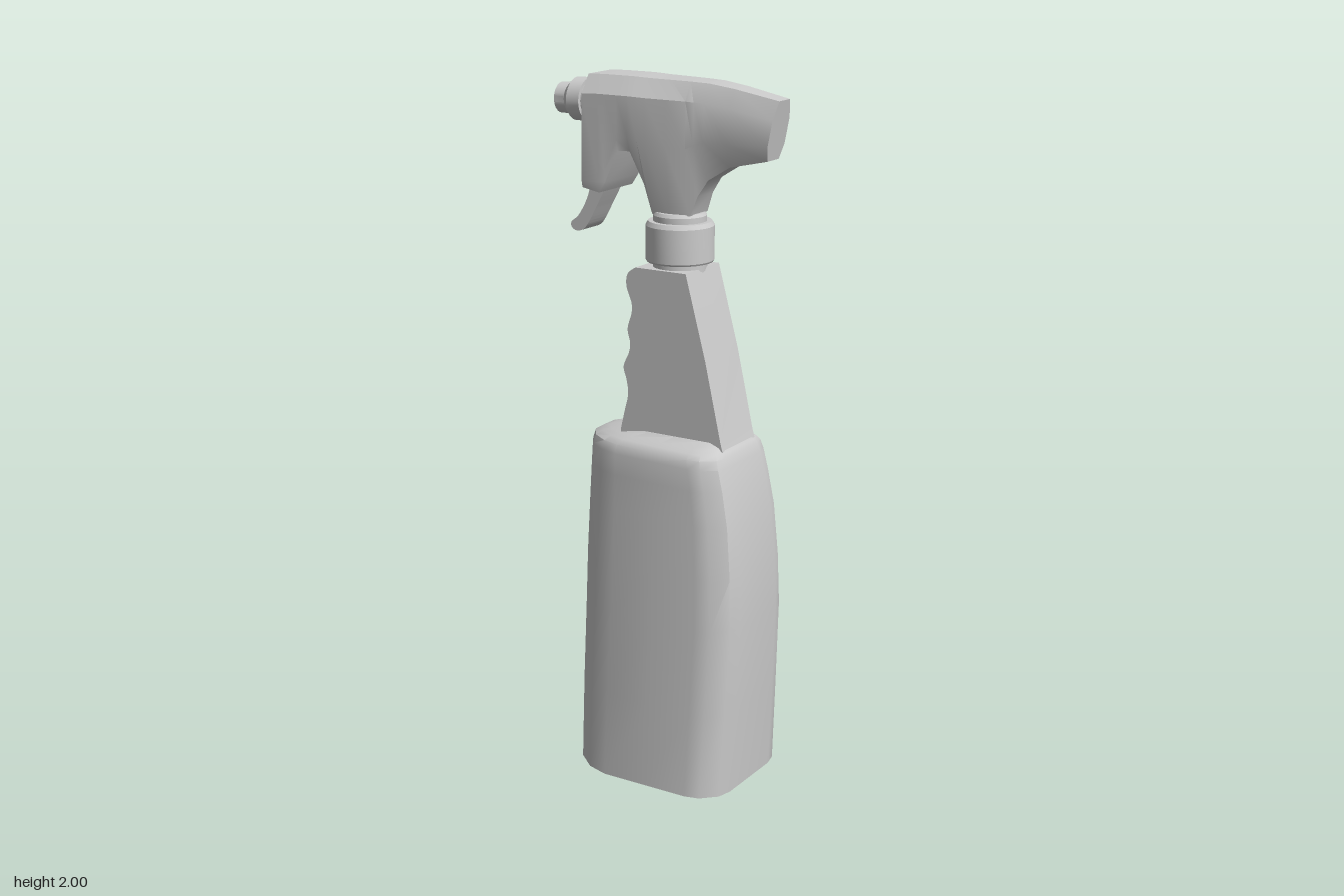
import * as THREE from 'three';
import { toCreasedNormals } from 'three/addons/utils/BufferGeometryUtils.js';

const material = new THREE.MeshStandardMaterial({ color: 0xcccccc });

function add(parent, name, geometry, crease = 0.6) {
  const mesh = new THREE.Mesh(toCreasedNormals(geometry, crease), material);
  mesh.name = name;
  parent.add(mesh);
  return mesh;
}

// Skin a list of rings (counter-clockwise about the loft direction) and cap both ends
function loft(rings) {
  const n = rings[0].length, pos = [], index = [];
  rings.forEach(r => r.forEach(p => pos.push(...p)));
  for (let i = 0; i < rings.length - 1; i++) {
    for (let j = 0; j < n; j++) {
      const k = (j + 1) % n, a = i * n, b = a + n;
      index.push(a + j, a + k, b + k, a + j, b + k, b + j);
    }
  }
  [0, rings.length - 1].forEach((i, end) => {
    const c = pos.length / 3;
    pos.push(...[0, 1, 2].map(d => rings[i].reduce((s, p) => s + p[d], 0) / n));
    for (let j = 0; j < n; j++) {
      const a = i * n + j, b = i * n + (j + 1) % n;
      index.push(c, end ? a : b, end ? b : a);
    }
  });
  const g = new THREE.BufferGeometry();
  g.setAttribute('position', new THREE.Float32BufferAttribute(pos, 3));
  g.setIndex(index);
  return g;
}

function extrude(shape, width) {
  const g = new THREE.ExtrudeGeometry(shape, { depth: width, bevelEnabled: false, curveSegments: 32 });
  return g.translate(0, 0, -width / 2);
}

function lathe(points, sides = 40) {
  return new THREE.LatheGeometry(points.map(p => new THREE.Vector2(...p)), sides);
}

function bottleGeometry() {
  // half outline: fraction of length, fraction of half width
  const half = [[1, 0.54], [0.98, 0.75], [0.9, 0.95], [0.82, 1], [0.56, 1],
    [0.31, 1], [0.19, 0.9], [0.08, 0.66], [0.01, 0.28]];
  const outline = [...half.map(([u, v]) => [u, -v]), ...half.slice().reverse()];
  // height, min x, max x, half width, narrowing towards the nozzle side
  const levels = [
    [0, -0.265, 0.268, 0.205, 0], [0.25, -0.261, 0.28, 0.196, 0],
    [0.5, -0.256, 0.291, 0.187, 0.03], [0.65, -0.254, 0.287, 0.181, 0.06],
    [0.8, -0.25, 0.274, 0.175, 0.12], [0.9, -0.247, 0.255, 0.17, 0.17],
    [0.96, -0.244, 0.24, 0.168, 0.2], [0.985, -0.236, 0.232, 0.162, 0.23],
    [0.998, -0.215, 0.225, 0.148, 0.25], [1.005, -0.19, 0.22, 0.13, 0.25],
    [1.022, -0.12, 0.215, 0.092, 0]];
  return loft(levels.map(([y, x0, x1, w, t]) =>
    outline.map(([u, v]) => [x0 + u * (x1 - x0), y, v * w * (1 - t * (1 - u))])));
}

function gripShape() {
  const s = new THREE.Shape();
  s.moveTo(-0.11, 1.0);
  s.lineTo(0.222, 1.0);
  s.lineTo(0.215, 1.025);
  s.lineTo(0.165, 1.25);
  s.lineTo(0.102, 1.485);
  s.lineTo(-0.06, 1.485);
  // finger grooves
  s.splineThru([[-0.085, 1.465], [-0.089, 1.43], [-0.073, 1.385], [-0.073, 1.355],
    [-0.086, 1.31], [-0.078, 1.27], [-0.083, 1.24], [-0.1, 1.2], [-0.09, 1.16],
    [-0.086, 1.12], [-0.098, 1.07], [-0.11, 1.02]].map(p => new THREE.Vector2(...p)));
  return s;
}

function headGeometry() {
  // top x, bottom x, top y, bottom y, shoulder y, half width, bottom half width
  const stations = [
    [-0.23, -0.235, 1.998, 1.69, 1.71, 0.088, 0.083],
    [-0.18, -0.18, 2.0, 1.68, 1.71, 0.088, 0.083],
    [-0.16, -0.16, 2.0, 1.71, 1.74, 0.088, 0.083],
    [-0.12, -0.12, 2.0, 1.8, 1.83, 0.088, 0.082],
    [-0.085, -0.085, 2.0, 1.8, 1.84, 0.088, 0.075],
    [-0.055, -0.055, 1.999, 1.71, 1.83, 0.086, 0.05],
    [-0.032, -0.032, 1.998, 1.63, 1.82, 0.084, 0.045],
    [0.03, 0.03, 1.997, 1.63, 1.82, 0.078, 0.055],
    [0.09, 0.09, 1.996, 1.635, 1.82, 0.072, 0.045],
    [0.115, 0.11, 1.995, 1.69, 1.83, 0.07, 0.04],
    [0.145, 0.14, 1.994, 1.735, 1.84, 0.067, 0.036],
    [0.22, 0.205, 1.984, 1.775, 1.84, 0.059, 0.034],
    [0.35, 0.318, 1.96, 1.8, 1.84, 0.046, 0.03]];
  return loft(stations.map(([xt, xb, yt, yb, ys, w, wb]) => {
    const side = [[0.62 * w, yt], [w, yt - 0.05], [w, ys], [wb, yb]];
    return [...side, ...side.slice().reverse().map(([z, y]) => [-z, y])]
      .map(([z, y]) => [xb + (xt - xb) * (y - yb) / (yt - yb), y, z]);
  }));
}

function triggerShape() {
  const s = new THREE.Shape();
  s.moveTo(-0.13, 1.82);
  s.lineTo(-0.215, 1.82);
  s.splineThru([[-0.225, 1.74], [-0.245, 1.66], [-0.275, 1.605], [-0.302, 1.58],
    [-0.297, 1.562], [-0.275, 1.558], [-0.25, 1.575], [-0.215, 1.635],
    [-0.185, 1.69], [-0.16, 1.74], [-0.13, 1.82]].map(p => new THREE.Vector2(...p)));
  return s;
}

export function createModel() {
  const model = new THREE.Group();
  model.name = 'sprayBottle';

  add(model, 'bottleBody', bottleGeometry());
  add(model, 'grip', extrude(gripShape(), 0.176));

  // neck, screw collar and upper ring
  const collar = add(model, 'collar', lathe([[0, 1.47], [0.075, 1.47], [0.075, 1.5], [0.092, 1.5],
    [0.095, 1.505], [0.095, 1.6], [0.088, 1.612], [0.074, 1.612], [0.074, 1.628],
    [0.068, 1.637], [0, 1.637]]), 0.5);
  collar.position.x = 0.03;

  const sprayer = new THREE.Group();
  sprayer.name = 'sprayer';
  model.add(sprayer);
  add(sprayer, 'sprayHead', headGeometry(), 0.5);
  add(sprayer, 'trigger', extrude(triggerShape(), 0.085));

  // nozzle, turned about an axis pointing to -x
  const nozzle = add(sprayer, 'nozzle', lathe([[0, 0], [0.05, 0], [0.05, 0.042], [0.06, 0.042],
    [0.06, 0.083], [0.043, 0.102], [0.043, 0.135], [0, 0.135]], 32), 0.5);
  nozzle.rotation.z = Math.PI / 2;
  nozzle.position.set(-0.22, 1.92, 0);

  return model;
}
